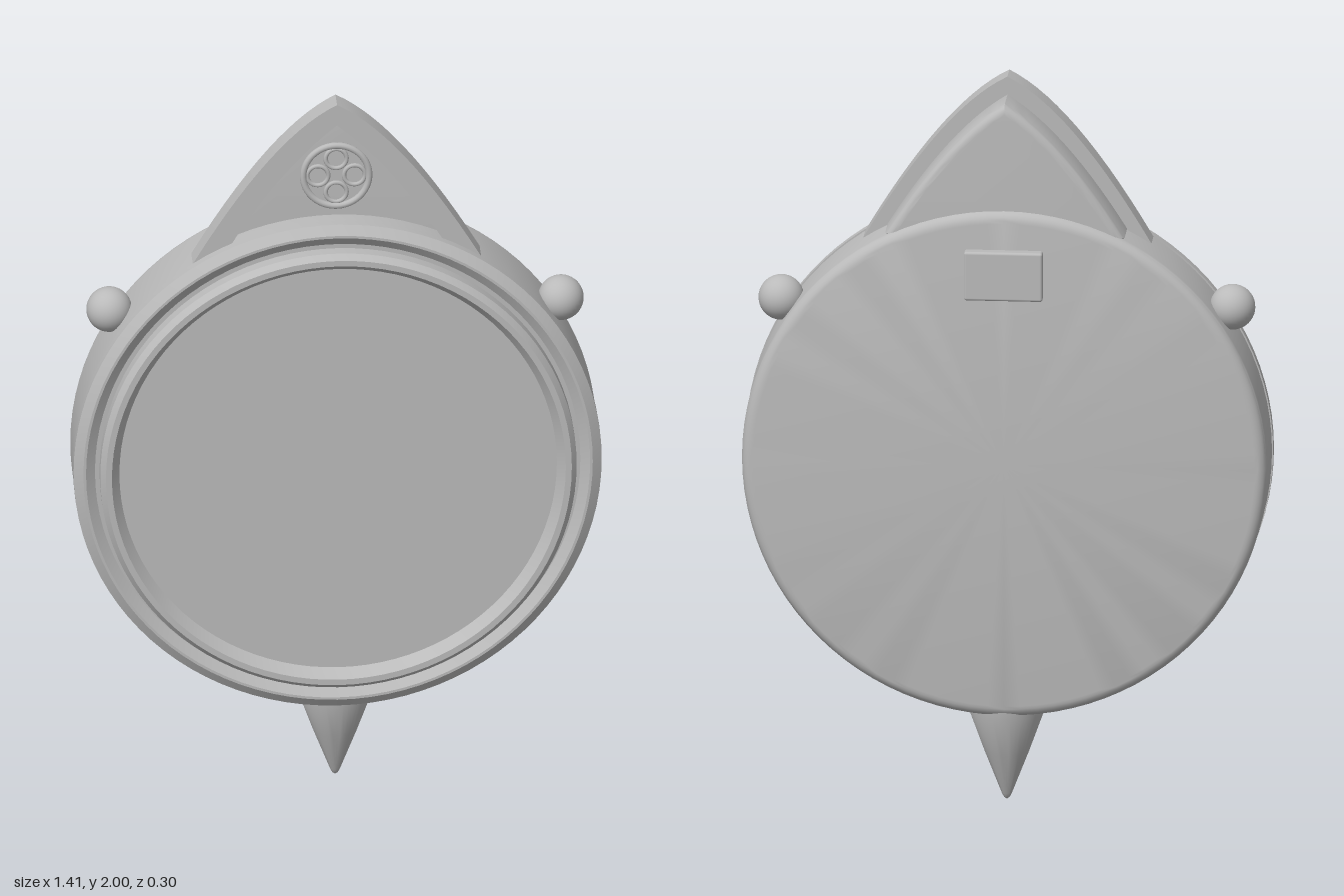
import * as THREE from 'three';
import { toCreasedNormals } from 'three/addons/utils/BufferGeometryUtils.js';
import { RoundedBoxGeometry } from 'three/addons/geometries/RoundedBoxGeometry.js';

const CENTRE_Y = 0.957;

// Pointed arch outline: apex, bulging sides, feet, and a lower edge sunk into the case
function archPoints(apexY, bulgeX, bulgeY, footX, footY, baseY) {
  const side = new THREE.QuadraticBezierCurve(
    new THREE.Vector2(footX, footY),
    new THREE.Vector2(bulgeX, bulgeY),
    new THREE.Vector2(0, apexY)
  ).getPoints(14);
  const mirrored = side.slice(0, -1).reverse().map((p) => new THREE.Vector2(-p.x, p.y));
  const base = [new THREE.Vector2(-footX * 0.8, baseY), new THREE.Vector2(footX * 0.8, baseY)];
  return [...side, ...mirrored, ...base];
}

// Lathe with sharp edges kept
function lathe(points, segments, crease = 0.5) {
  const profile = points.map(([r, h]) => new THREE.Vector2(r, h));
  return toCreasedNormals(new THREE.LatheGeometry(profile, segments), crease);
}

function extrude(shape, depth, options = {}) {
  const geometry = new THREE.ExtrudeGeometry(shape, { depth, bevelEnabled: false, curveSegments: 24, ...options });
  return toCreasedNormals(geometry, 0.5);
}

export function createModel() {
  const group = new THREE.Group();
  const grey = new THREE.MeshStandardMaterial({ color: 0xbababa });
  grey.name = 'grey';

  const add = (name, geometry, x = 0, y = 0, z = 0) => {
    const mesh = new THREE.Mesh(geometry, grey);
    mesh.name = name;
    mesh.position.set(x, y, z);
    group.add(mesh);
    return mesh;
  };

  // Round case with a filleted back edge
  const caseProfile = [[0, -0.125], [0.67, -0.125]];
  for (let i = 1; i <= 6; i++) {
    const a = (i / 6) * Math.PI / 2;
    caseProfile.push([0.67 + 0.032 * Math.sin(a), -0.095 - 0.03 * Math.cos(a)]);
  }
  caseProfile.push([0.702, 0.066], [0.696, 0.067], [0.696, 0.07]);
  add('case', lathe(caseProfile, 96).rotateX(Math.PI / 2), 0, CENTRE_Y);

  // Chamfered rim, groove, raised ring and recessed face
  add('rim', lathe([
    [0.69, 0.07], [0.705, 0.07], [0.705, 0.096], [0.68, 0.114], [0.673, 0.114], [0.648, 0.095], [0.6, 0.095],
  ], 96, 0.3).rotateX(Math.PI / 2), 0, CENTRE_Y);
  add('ring', lathe([
    [0.636, 0.09], [0.636, 0.13], [0.622, 0.147], [0.606, 0.147], [0.584, 0.115], [0.57, 0.115],
  ], 96, 0.3).rotateX(Math.PI / 2), 0, CENTRE_Y);
  add('face', new THREE.CircleGeometry(0.585, 96), 0, CENTRE_Y, 0.115);

  // Arched crest: open frame, recessed panel and rounded backing
  const outer = archPoints(2.0, 0.17, 1.915, 0.385, 1.545, 1.48);
  const frame = new THREE.Shape(outer);
  frame.holes.push(new THREE.Path(archPoints(1.94, 0.15, 1.82, 0.285, 1.595, 1.54)));
  add('crestFrame', extrude(frame, 0.068));
  add('crestPanel', extrude(new THREE.Shape(outer), 0.01));
  const backing = new THREE.Shape(archPoints(1.95, 0.15, 1.86, 0.32, 1.585, 1.5));
  add('crestBacking', extrude(backing, 0.085, {
    bevelEnabled: true, bevelThickness: 0.022, bevelSize: 0.022, bevelOffset: -0.022, bevelSegments: 5,
  }), 0, 0, -0.083);

  // Round crest medallion with four holes, each edged by a small ring
  const medallion = new THREE.Shape().absarc(0, 0, 0.094, 0, Math.PI * 2);
  const offsets = [[0.049, 0], [0, 0.049], [-0.049, 0], [0, -0.049]];
  for (const [x, y] of offsets) {
    medallion.holes.push(new THREE.Path().absarc(x, y, 0.026, 0, Math.PI * 2, true));
    add('medallionRing', new THREE.TorusGeometry(0.028, 0.006, 8, 28), x, 1.777 + y, 0.03);
  }
  add('medallion', extrude(medallion, 0.022), 0, 1.777, 0.008);
  add('medallionRim', new THREE.TorusGeometry(0.088, 0.009, 10, 48), 0, 1.777, 0.032);

  // Side knobs
  for (const side of [-1, 1]) {
    add(side > 0 ? 'leftKnob' : 'rightKnob', new THREE.SphereGeometry(0.061, 32, 20), side * 0.603, 1.38, -0.018);
  }

  // Pointed foot
  add('spike', lathe([[0, 0], [0.008, 0.006], [0.014, 0.018], [0.06, 0.136], [0.1, 0.247], [0.1, 0.31]], 40), 0, 0, -0.018);

  // Small plate on the back
  add('backPlate', new RoundedBoxGeometry(0.21, 0.135, 0.04, 3, 0.007), 0, 1.487, -0.133);

  return group;
}
